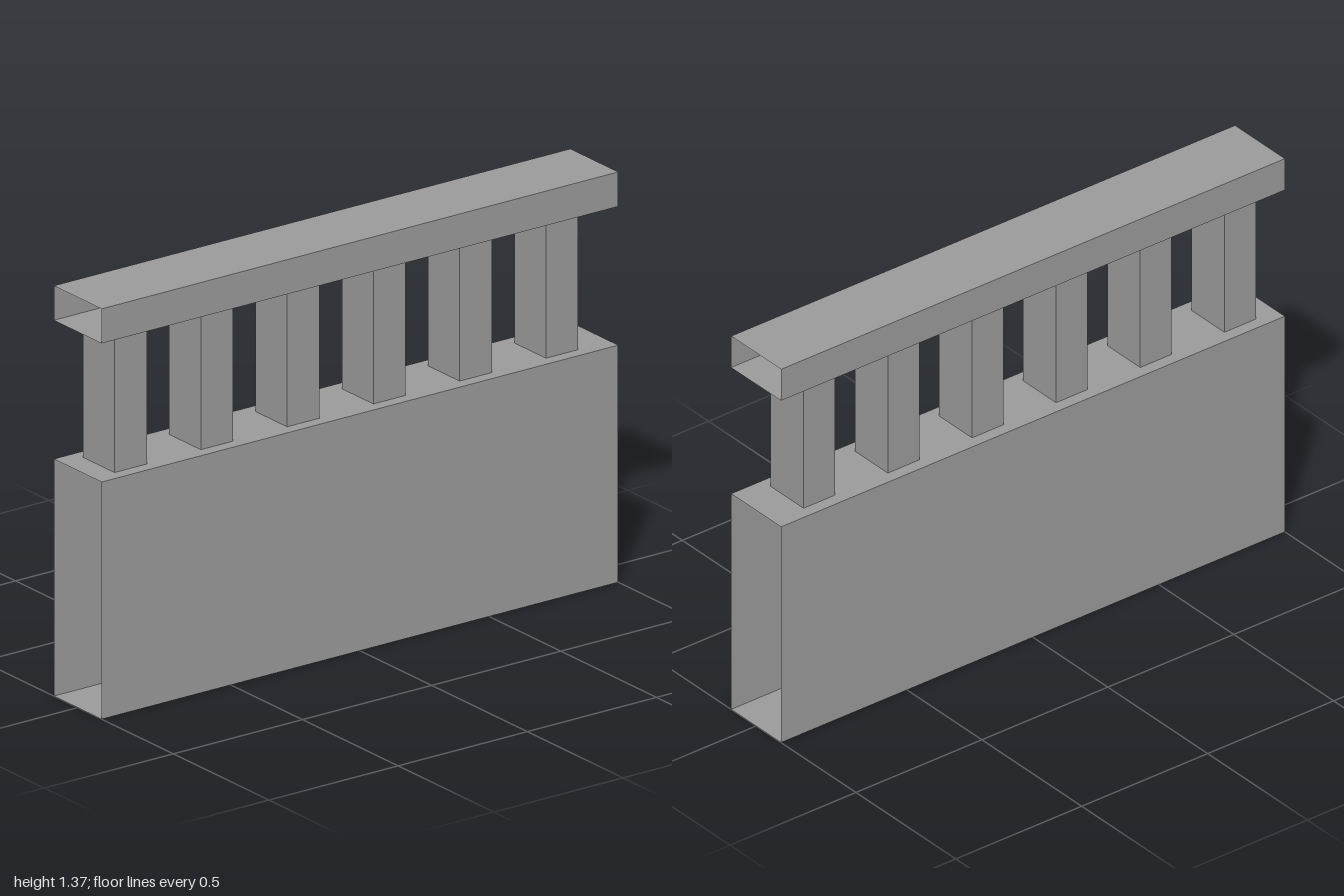
import * as THREE from 'three';

const material = new THREE.MeshStandardMaterial({ color: 0x9a9a9a, flatShading: true, side: THREE.DoubleSide });

// Box without the two faces across one axis (0 = x, 1 = y, 2 = z)
function sleeve(name, width, height, depth, openAxis) {
  const geometry = new THREE.BoxGeometry(width, height, depth);
  const kept = Array.from(geometry.index.array).filter((_, i) => Math.floor(i / 12) !== openAxis);
  geometry.setIndex(kept);
  geometry.clearGroups();
  const mesh = new THREE.Mesh(geometry, material);
  mesh.name = name;
  return mesh;
}

export function createModel() {
  const group = new THREE.Group();
  group.name = 'balustrade';

  const wallTop = 0.79, railBottom = 1.252, railTop = 1.367;

  // Lower wall, open at both ends
  const wall = sleeve('parapetWall', 0.25, wallTop, 2, 2);
  wall.position.y = wallTop / 2;
  group.add(wall);

  // Top rail, open at both ends
  const rail = sleeve('topRail', 0.25, railTop - railBottom, 2, 2);
  rail.position.y = (railTop + railBottom) / 2;
  group.add(rail);

  // Six evenly spaced posts, closed above and below by rail and wall
  const posts = new THREE.Group();
  posts.name = 'posts';
  for (let i = 0; i < 6; i++) {
    const post = sleeve('post', 0.165, railBottom - wallTop, 0.125, 1);
    post.position.set(0, (railBottom + wallTop) / 2, 0.856 - i * 0.334);
    posts.add(post);
  }
  group.add(posts);

  return group;
}
